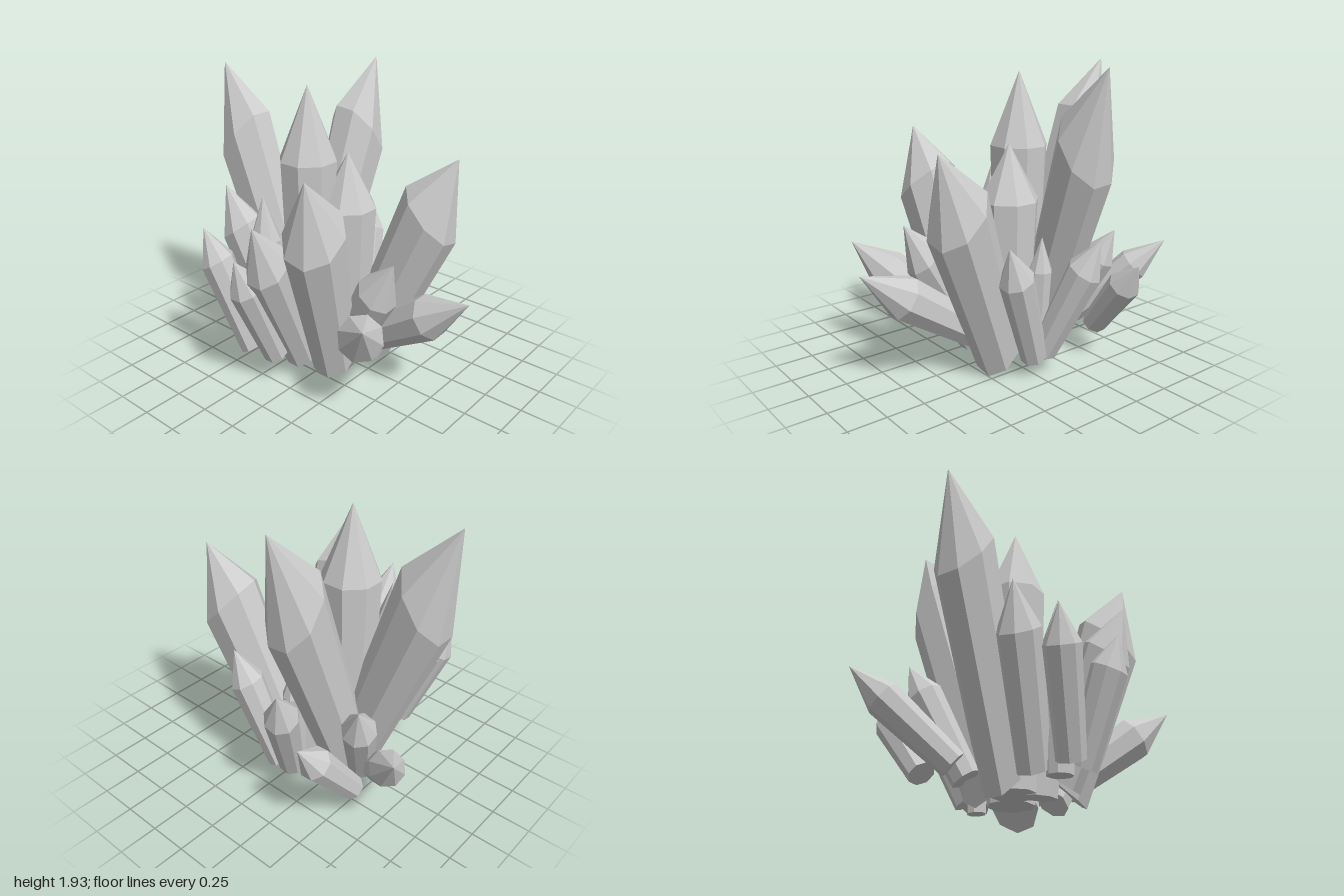
import * as THREE from 'three';

const SIDES = 8;

// name, tip x y z, base centre x y z, shoulder radius
const CRYSTALS = [
  // tall crystals
  ['tallLeftCrystal', 0.68, 1.93, -0.25, 0.07, 0.21, -0.3, 0.187],
  ['tallBackCrystal', -0.06, 1.92, -0.94, -0.06, 0.2, -0.3, 0.187],
  ['uprightCentreCrystal', -0.06, 1.87, -0.21, -0.06, 0.1, -0.21, 0.19],
  ['uprightFrontCrystal', 0.09, 1.45, -0.01, 0.09, 0.1, -0.01, 0.19],
  ['tallFrontCrystal', 0.31, 1.49, 0.66, 0.16, 0.14, 0.13, 0.195],
  ['tallRightCrystal', -0.6, 1.5, 0.25, -0.2, 0.18, 0.12, 0.195],
  // front fan
  ['frontCrystal', -0.03, 0.77, 0.99, 0.03, 0.25, 0.23, 0.14],
  ['frontRightCrystal', -0.66, 0.77, 0.71, -0.13, 0.25, 0.26, 0.14],
  ['innerFrontCrystal', -0.21, 0.96, 0.58, -0.12, 0.12, 0.12, 0.13],
  // right side
  ['rightCrystal', -0.73, 1.19, -0.04, -0.3, 0.17, -0.07, 0.145],
  ['outerRightCrystal', -0.755, 0.95, -0.18, -0.47, 0.21, -0.14, 0.11],
  ['slimRightCrystal', -0.41, 1.24, -0.27, -0.39, 0.15, -0.25, 0.1],
  ['innerRightCrystal', -0.22, 1.1, -0.1, -0.15, 0.1, -0.08, 0.14],
  // back
  ['backRightCrystal', -0.35, 1.2, -0.67, -0.25, 0.2, -0.3, 0.135],
  ['outerBackRightCrystal', -0.61, 1.0, -0.61, -0.5, 0.2, -0.32, 0.11],
  ['backLeftCrystal', 0.53, 0.745, -1.0, 0.1, 0.21, -0.57, 0.11],
  ['innerBackLeftCrystal', 0.4, 0.85, -0.65, 0.1, 0.16, -0.45, 0.11],
  // left side
  ['outerLeftCrystal', 0.75, 0.72, -0.5, 0.33, 0.2, -0.56, 0.105],
  ['leftCrystal', 0.66, 0.92, -0.26, 0.36, 0.15, -0.08, 0.11],
  ['frontLeftCrystal', 0.47, 0.92, 0.29, 0.37, 0.14, 0.01, 0.11],
  ['slimLeftCrystal', 0.33, 0.89, -0.08, 0.3, 0.07, -0.07, 0.075],
];

// Eight-sided prism that widens toward its shoulder and ends in a point
function makeCrystal([name, tipX, tipY, tipZ, baseX, baseY, baseZ, radius], material) {
  // Taller crystals have their slanted rings drawn out more upwards
  const skew = 0.4 + 0.82 * tipY;
  const axis = new THREE.Vector3(tipX - baseX, (tipY - baseY) / skew, tipZ - baseZ);
  const length = axis.length();
  axis.normalize();
  // The point takes a larger share of a crystal that leans further
  const point = 0.265 + 0.2 * (1 - axis.y ** 2) ** 2;

  const profile = [
    new THREE.Vector2(0, 0),
    new THREE.Vector2(radius * 0.78, 0),
    new THREE.Vector2(radius, length * (1 - point)),
    new THREE.Vector2(0, length),
  ];
  const lean = new THREE.Quaternion().setFromUnitVectors(new THREE.Vector3(0, 1, 0), axis);
  const geometry = new THREE.LatheGeometry(profile, SIDES, Math.PI / SIDES)
    .applyQuaternion(lean)
    .scale(1, skew, 1);

  const mesh = new THREE.Mesh(geometry, material);
  mesh.name = name;
  mesh.position.set(baseX, baseY, baseZ);
  return mesh;
}

export function createModel() {
  const material = new THREE.MeshStandardMaterial({ color: 0xcccccc, flatShading: true });
  const model = new THREE.Group();
  model.name = 'crystalCluster';
  for (const crystal of CRYSTALS) model.add(makeCrystal(crystal, material));
  return model;
}
